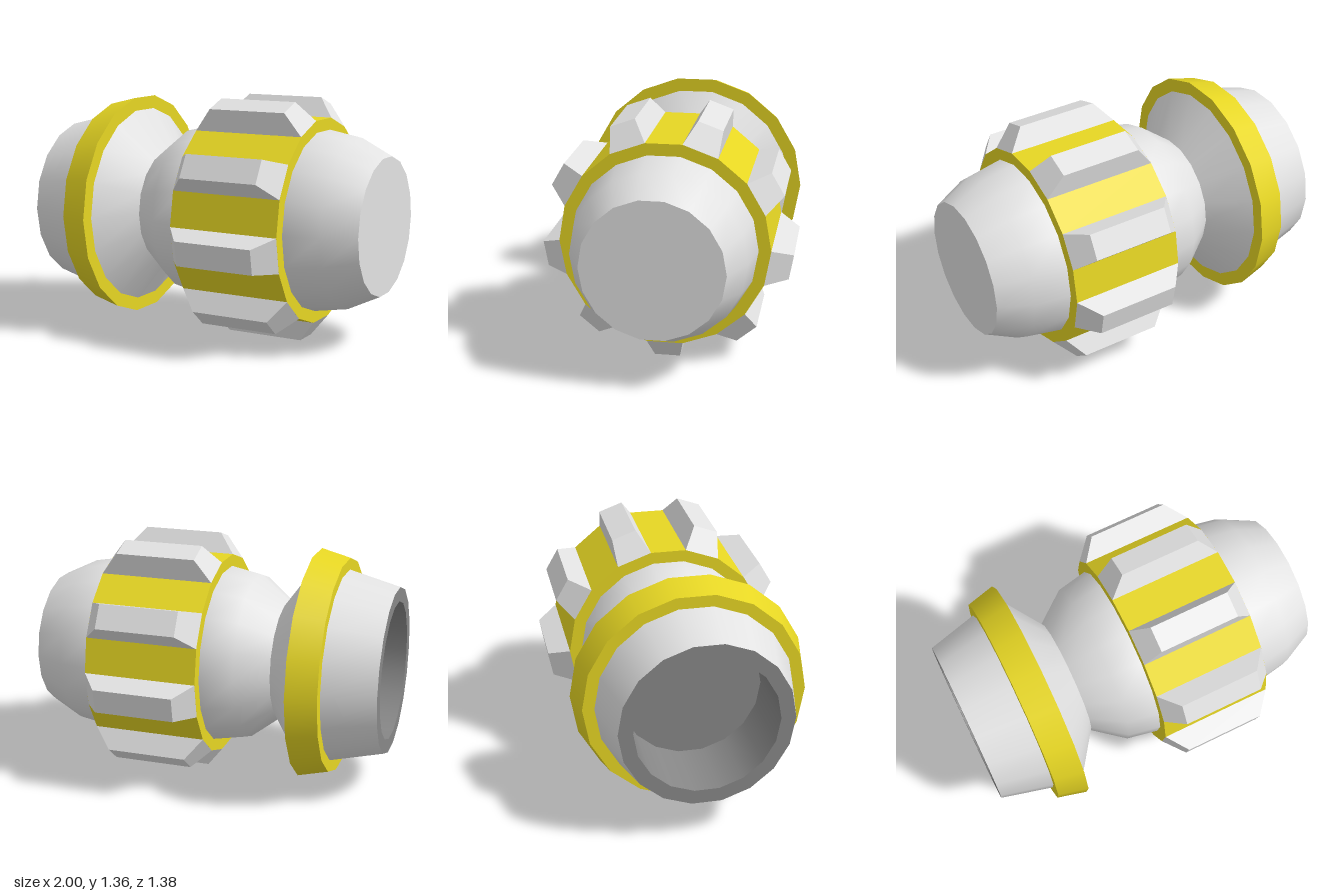
import * as THREE from 'three';

const SIDES = 18;

export function createModel() {
  const metal = new THREE.MeshStandardMaterial({ color: 0xe2e2e2 });
  metal.name = 'light grey';
  const dark = new THREE.MeshStandardMaterial({ color: 0x878787 });
  dark.name = 'dark grey';
  const yellow = new THREE.MeshStandardMaterial({ color: 0xe6d623 });
  yellow.name = 'yellow';

  const model = new THREE.Group();
  model.name = 'ribbedCoupling';
  const axis = new THREE.Group(); // everything turns around the x axis at this height
  axis.name = 'turnedParts';
  axis.position.y = 0.688;
  model.add(axis);

  function add(name, geometry, material) {
    const mesh = new THREE.Mesh(geometry, material);
    mesh.name = name;
    axis.add(mesh);
    return mesh;
  }

  // Turned surface; profile points are [x along the axis, radius]
  function turned(name, material, profile, faceted = false) {
    let g = new THREE.LatheGeometry(profile.map(([x, r]) => new THREE.Vector2(r, x)), SIDES);
    g.rotateZ(-Math.PI / 2);
    if (faceted) {
      g = g.toNonIndexed();
      g.computeVertexNormals();
    }
    return add(name, g, material);
  }

  // Hollow socket at the right end, dark inside and on the rim
  turned('socketFloor', dark, [[-0.6, 0], [-0.6, 0.39]]);
  turned('socketInnerWall', dark, [[-0.6, 0.39], [-1, 0.39]]);
  turned('socketRim', dark, [[-1, 0.39], [-1, 0.47]]);
  turned('socketOuterWall', metal, [[-1, 0.47], [-0.71, 0.543]]);

  // Flared yellow collar
  turned('collarBackFace', yellow, [[-0.71, 0.54], [-0.71, 0.608]]);
  turned('collarEdge', yellow, [[-0.71, 0.608], [-0.543, 0.65]]);
  turned('collarFrontFace', yellow, [[-0.543, 0.65], [-0.543, 0.57]]);

  // Cone narrowing to the neck, then the barrel-shaped body
  turned('neckCone', metal, [[-0.543, 0.573], [-0.375, 0.337]]);
  turned('barrel', metal, [
    [-0.375, 0.337], [-0.2, 0.473], [-0.02, 0.508], [0.622, 0.508], [0.82, 0.473], [1, 0.385],
  ]);
  turned('endCap', metal, [[1, 0.385], [1, 0]]);

  // Faceted yellow band around the barrel
  turned('band', yellow, [[-0.022, 0.5], [-0.022, 0.575], [0.622, 0.575], [0.622, 0.5]], true);

  // Nine tapered ribs, one on every other facet of the band
  const inner = 0.566, outer = 0.688;
  const rib = new THREE.BoxGeometry(0.644, outer - inner, 0.2);
  const p = rib.attributes.position;
  for (let i = 0; i < p.count; i++) {
    if (p.getY(i) > 0) {
      p.setX(i, Math.sign(p.getX(i)) * 0.228);
      p.setZ(i, Math.sign(p.getZ(i)) * 0.071);
    }
  }
  rib.translate(0.3, (inner + outer) / 2, 0);
  rib.computeVertexNormals();
  for (let k = 0; k < 9; k++) {
    add('rib' + (k + 1), rib, metal).rotation.x = Math.PI + (k * Math.PI * 2) / 9;
  }

  return model;
}
